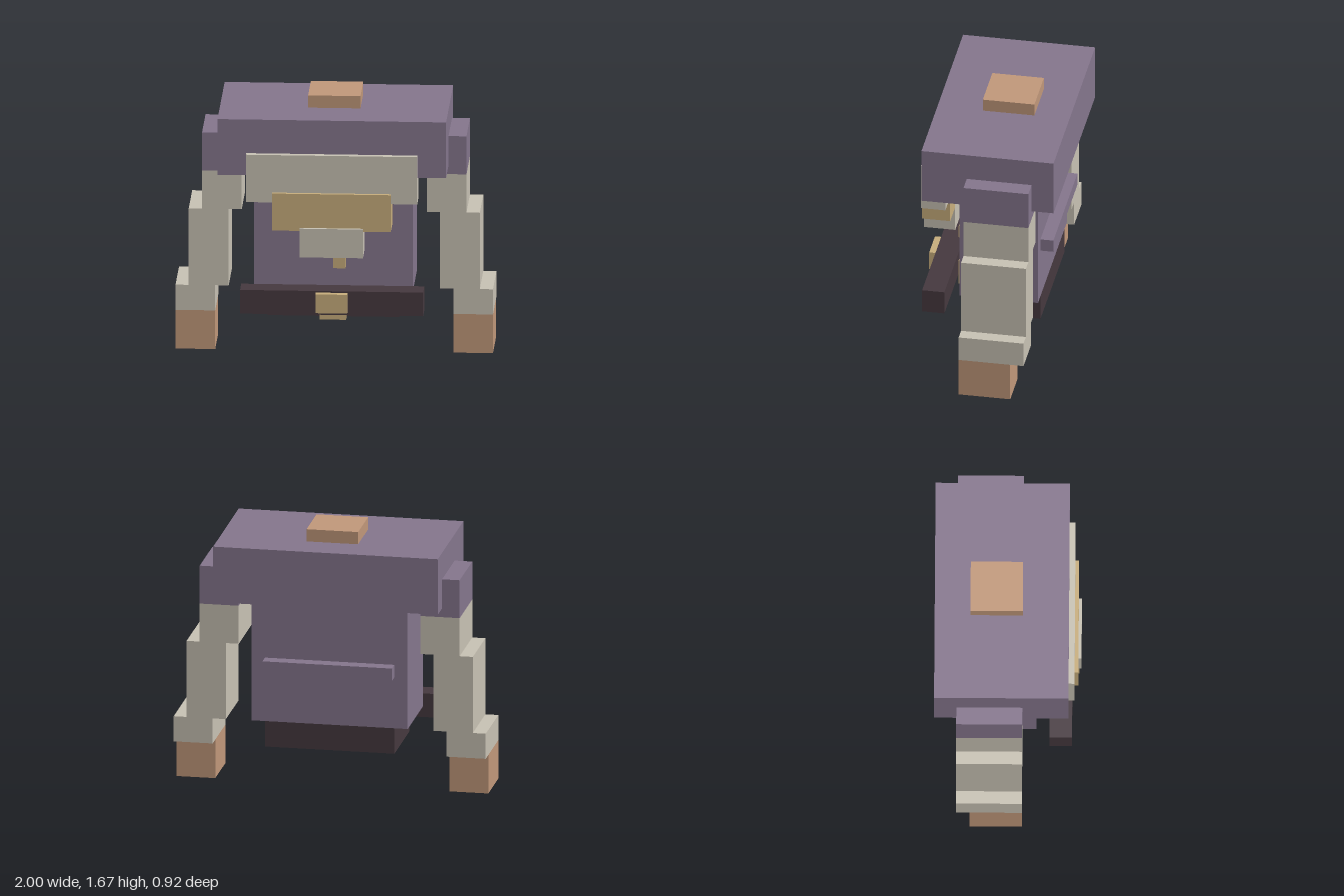
import * as THREE from 'three';

const material = (name, color) => {
  const m = new THREE.MeshStandardMaterial({ color });
  m.name = name;
  return m;
};

export function createModel() {
  const purple = material('purple cloth', 0x85768d);
  const beige = material('pale cloth', 0xc8c2b4);
  const gold = material('dull gold', 0xc8ae7c);
  const dark = material('dark leather', 0x46393f);
  const skin = material('skin', 0xc1987a);

  const model = new THREE.Group();
  model.name = 'blockyTorso';

  // Box from its limits on each axis
  const box = (parent, name, mat, [x0, x1], [y0, y1], [z0, z1]) => {
    const mesh = new THREE.Mesh(new THREE.BoxGeometry(x1 - x0, y1 - y0, z1 - z0), mat);
    mesh.position.set((x0 + x1) / 2, (y0 + y1) / 2, (z0 + z1) / 2);
    mesh.name = name;
    parent.add(mesh);
  };
  const wide = (w) => [-w, w];

  // Body
  box(model, 'neck', skin, wide(0.165), [1.59, 1.67], [-0.237, 0.093]);
  box(model, 'shoulderCape', purple, wide(0.72), [1.225, 1.59], [-0.462, 0.383]);
  box(model, 'torso', purple, wide(0.5), [0.42, 1.225], [-0.322, 0.18]);
  box(model, 'pelvis', dark, wide(0.415), [0.253, 0.42], [-0.322, 0.18]);
  box(model, 'backStrap', purple, wide(0.415), [0.755, 0.837], [-0.405, -0.322]);

  // Stepped collar hanging on the chest
  box(model, 'collarTop', beige, wide(0.54), [1.06, 1.37], [0.263, 0.42]);
  box(model, 'collarMiddle', gold, wide(0.375), [0.883, 1.125], [0.263, 0.443]);
  box(model, 'collarBottom', beige, wide(0.2), [0.715, 0.903], [0.263, 0.462]);

  // Buttons down the front
  for (const y of [0.59, 0.84, 1.088]) {
    box(model, 'button', gold, [0, 0.08], [y, y + 0.082], [0.18, 0.263]);
  }

  // Belt with buckle
  box(model, 'belt', dark, wide(0.577), [0.325, 0.48], [0.263, 0.405]);
  box(model, 'buckle', gold, wide(0.1), [0.347, 0.47], [0.405, 0.448]);
  box(model, 'beltClasp', gold, wide(0.083), [0.253, 0.42], [0.18, 0.263]);

  // Arms, stepping outward toward the hands
  for (const side of [1, -1]) {
    const arm = new THREE.Group();
    arm.name = side > 0 ? 'leftArm' : 'rightArm';
    const part = (name, mat, inner, outer, y, back = -0.322) =>
      box(arm, name, mat, side > 0 ? [inner, outer] : [-outer, -inner], y, [back, 0.093]);
    part('shoulder', purple, 0.583, 0.833, [1.168, 1.417]);
    part('upperSleeve', beige, 0.583, 0.833, [0.918, 1.168]);
    part('middleSleeve', beige, 0.665, 0.917, [0.418, 0.918]);
    part('cuff', beige, 0.75, 1, [0.253, 0.418]);
    part('hand', skin, 0.75, 1, [0, 0.253], -0.237);
    model.add(arm);
  }
  return model;
}
